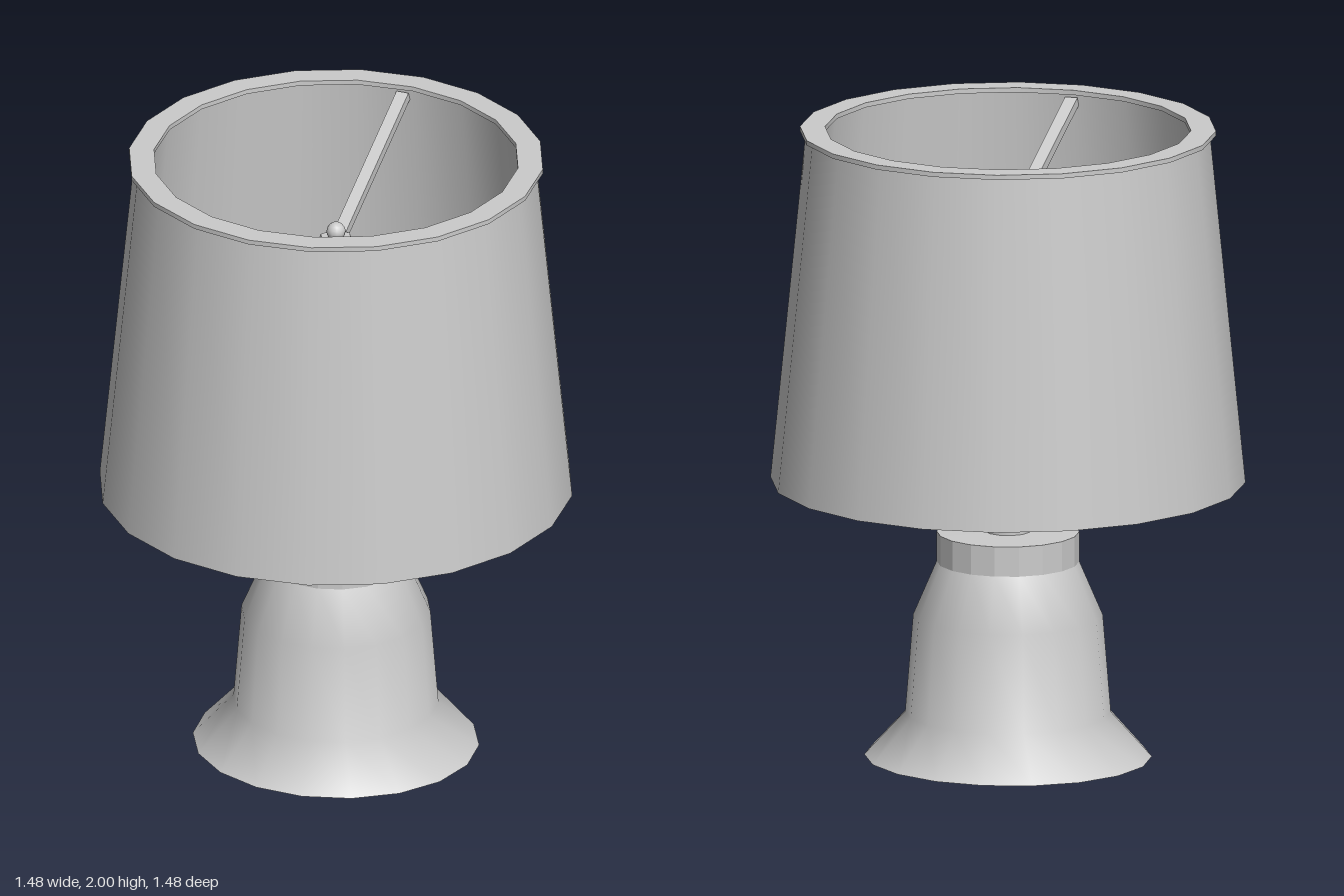
import * as THREE from 'three';
import { mergeGeometries } from 'three/addons/utils/BufferGeometryUtils.js';

const smooth = new THREE.MeshStandardMaterial({ color: 0xcccccc });
const faceted = new THREE.MeshStandardMaterial({ color: 0xcccccc, flatShading: true });
const open = new THREE.MeshStandardMaterial({ color: 0xcccccc, side: THREE.DoubleSide });

const lathe = (profile, sides) => new THREE.LatheGeometry(
  profile.map(([r, y]) => new THREE.Vector2(r, y)), sides, Math.PI / 2);

// Lathe that is smooth around but sharp at every profile corner
const sharpLathe = (profile, sides) => mergeGeometries(
  profile.slice(1).map((p, i) => lathe([profile[i], p], sides)));

export function createModel() {
  const model = new THREE.Group();
  model.name = 'tableLamp';
  const add = (name, geometry, material, y = 0) => {
    const mesh = new THREE.Mesh(geometry, material);
    mesh.name = name;
    mesh.position.y = y;
    model.add(mesh);
    return mesh;
  };

  // Hollow flared base, its foot slightly narrower front to back
  const base = lathe([[0.45, 0], [0.32, 0.14], [0.295, 0.45], [0.222, 0.62]], 18);
  const pos = base.attributes.position;
  for (let i = 0; i < pos.count; i++) {
    if (pos.getY(i) < 0.01) pos.setZ(i, pos.getZ(i) * 0.953);
  }
  add('base', base, open);

  // Faceted collar closing the base
  add('collar', lathe([[0.222, 0.615], [0.222, 0.715], [0, 0.718]], 18), faceted);

  // Stem, nut and finial
  add('stem', sharpLathe([[0.071, 0.71], [0.071, 1.69], [0, 1.69]], 12), smooth);
  add('nut', new THREE.CylinderGeometry(0.052, 0.066, 0.04, 6).rotateY(Math.PI / 6), faceted, 1.71);
  add('finial', new THREE.SphereGeometry(0.03, 12, 8), smooth, 1.75);

  // Tapered shade with a wall thickness
  add('shade', sharpLathe([
    [0.74, 0.88], [0.63, 1.985], [0.575, 1.985], [0.675, 0.88], [0.74, 0.88]], 20), smooth);

  // Thin overhanging ring on top of the shade
  add('shadeRing', sharpLathe([
    [0.648, 1.985], [0.648, 2], [0.57, 2], [0.57, 1.985], [0.648, 1.985]], 20), smooth);

  // Two square arms rising from the nut to the shade
  const arms = [
    [[-0.006, 1.72, -0.05], [-0.033, 1.965, -0.57]],
    [[-0.006, 1.72, 0.05], [0.006, 1.965, 0.57]],
  ];
  arms.forEach(([from, to], i) => {
    const a = new THREE.Vector3(...from), b = new THREE.Vector3(...to);
    const arm = add(i ? 'frontArm' : 'backArm',
      new THREE.BoxGeometry(0.04, 0.03, a.distanceTo(b)), faceted);
    arm.position.copy(a).lerp(b, 0.5);
    arm.lookAt(b);
  });

  return model;
}
